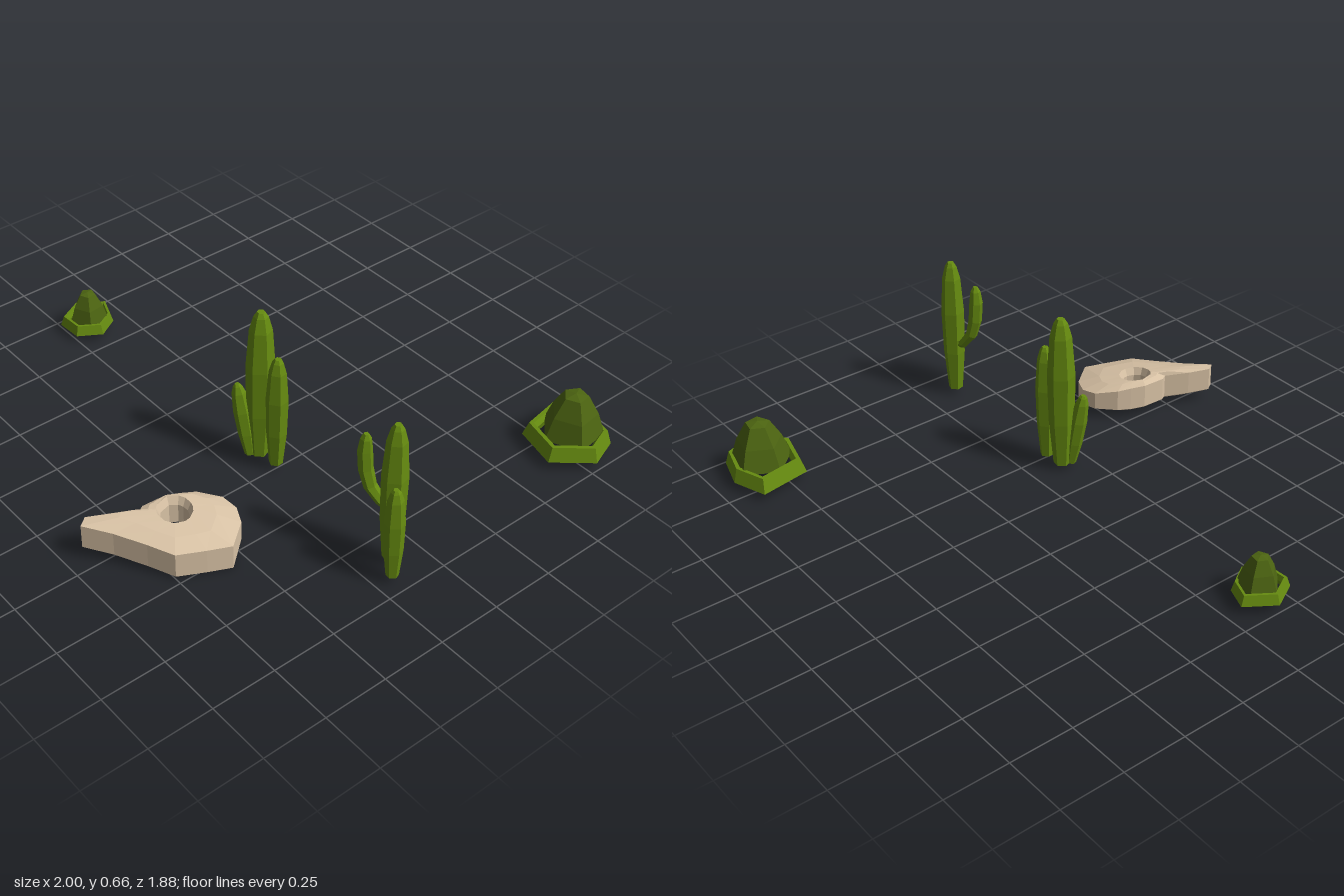
import * as THREE from 'three';

const mat = (name, color) => {
  const m = new THREE.MeshStandardMaterial({ color, flatShading: true, side: THREE.DoubleSide });
  m.name = name;
  return m;
};

// Skins a stack of equal-length rings of points into a faceted surface
function skin(rings) {
  const pos = [];
  const tri = (...pts) => {
    const area = pts[1].clone().sub(pts[0]).cross(pts[2].clone().sub(pts[0])).length();
    if (area > 1e-9) pts.forEach(p => pos.push(p.x, p.y, p.z));
  };
  for (let k = 0; k < rings.length - 1; k++) {
    const lo = rings[k], hi = rings[k + 1], n = lo.length;
    for (let i = 0; i < n; i++) {
      const j = (i + 1) % n;
      tri(lo[i], hi[i], lo[j]);
      tri(hi[i], hi[j], lo[j]);
    }
  }
  const g = new THREE.BufferGeometry();
  g.setAttribute('position', new THREE.Float32BufferAttribute(pos, 3));
  g.computeVertexNormals();
  return g;
}

function part(name, geometry, material) {
  const m = new THREE.Mesh(geometry, material);
  m.name = name;
  return m;
}

// Six-sided stem following a path, one radius per path point, closed at both ends
function stem(name, path, radii, material, turn = 0) {
  const pts = path.map(p => new THREE.Vector3(...p));
  const up = new THREE.Vector3(0, 1, 0);
  const last = pts.length - 1;
  const ring = (i, r) => {
    const dir = pts[Math.min(i + 1, last)].clone().sub(pts[Math.max(i - 1, 0)]).normalize();
    const q = new THREE.Quaternion().setFromUnitVectors(up, dir);
    return Array.from({ length: 6 }, (_, s) => {
      const a = turn + s * Math.PI / 3;
      return new THREE.Vector3(r * Math.cos(a), 0, r * Math.sin(a)).applyQuaternion(q).add(pts[i]);
    });
  };
  const rings = pts.map((_, i) => ring(i, radii[i]));
  return part(name, skin([ring(0, 0), ...rings, ring(last, 0)]), material);
}

// Upright stem, slim at the foot, widest halfway and blunt at the top
function column(name, foot, top, r, material, turn) {
  const at = t => foot.map((v, i) => v + (top[i] - v) * t);
  return stem(name, [0, 0.3, 0.62, 0.88, 0.97, 1].map(at),
    [0.62, 0.92, 1, 0.78, 0.5, 0.28].map(f => f * r), material, turn);
}

// Low shrub: a thick hexagonal collar around a faceted hollow mound
function shrub(name, outline, height, rim, collarMat, moundMat) {
  const g = new THREE.Group();
  g.name = name;
  const n = outline.length;
  const cx = outline.reduce((s, p) => s + p[0], 0) / n;
  const cz = outline.reduce((s, p) => s + p[1], 0) / n;
  const size = outline.reduce((s, p) => s + Math.hypot(p[0] - cx, p[1] - cz), 0) / n;
  const loop = (f, y) => outline.map(p =>
    new THREE.Vector3(cx + (p[0] - cx) * f, y, cz + (p[1] - cz) * f));
  const base = 0.04;
  g.add(part('collar', skin([loop(0.76, base), loop(1, base), loop(0.88, rim),
    loop(0.78, rim), loop(0.7, rim - 0.02), loop(0.76, base)]), collarMat));
  const round = (f, y) => Array.from({ length: 5 }, (_, s) => {
    const a = 0.5 + s * Math.PI * 0.4;
    return new THREE.Vector3(cx + size * f * Math.cos(a), y, cz + size * f * Math.sin(a));
  });
  const h = height - rim;
  g.add(part('mound', skin([round(0.74, rim - 0.02), round(0.55, rim + h * 0.45),
    round(0.29, rim + h * 0.94), round(0, height)]), moundMat));
  return g;
}

// Beaked skull lying flat, with an eye hole right through it
function skull(material) {
  const outline = [[.555, .565], [.52, .65], [.475, .75], [.385, .8], [.28, .865], [.19, .935],
    [.165, .9], [.2, .82], [.25, .735], [.235, .71], [.24, .62], [.262, .565], [.285, .515],
    [.35, .45], [.415, .44], [.48, .47]];
  const cx = 0.325, cz = 0.638;
  const top = (x, z) => 0.178 - 0.125 * x - Math.max(0, 0.54 - z) * 0.12;
  const bottom = (x, z) => 0.08 - 0.137 * x + Math.max(0, 0.56 - z) * 0.15;
  // t runs from the outer edge (0) to the rim of the eye hole (1)
  const loop = (t, r, yAt, lift) => outline.map(([x, z]) => {
    const a = Math.atan2(z - cz, x - cx);
    const px = x + (cx + r * Math.cos(a) - x) * t;
    const pz = z + (cz + r * Math.sin(a) - z) * t;
    return new THREE.Vector3(px, yAt(px, pz) + lift, pz);
  });
  const holeLow = loop(1, 0.05, bottom, 0.012);
  return part('skull', skin([holeLow, loop(0.12, 0.05, bottom, 0), loop(0, 0.05, bottom, 0.004),
    loop(0, 0.05, top, 0), loop(0.5, 0.06, top, 0.016), loop(1, 0.064, top, 0.02),
    loop(1, 0.05, top, -0.01), holeLow]), material);
}

export function createModel() {
  const model = new THREE.Group();
  model.name = 'desertProps';
  const green = mat('cactusGreen', 0x668b10);
  const olive = mat('darkOlive', 0x4c6411);
  const bone = mat('bone', 0xd8c2a5);

  // Cluster of three columns
  const trio = new THREE.Group();
  trio.name = 'tripleCactus';
  trio.add(
    column('mainStem', [.16, .03, .13], [.163, .665, .125], .054, green, .2),
    column('secondStem', [.242, .03, .12], [.25, .508, .12], .042, green, .4),
    column('smallStem', [.142, .03, .16], [.1, .34, .185], .033, green, .1));
  model.add(trio);

  // Cactus with a bent arm and a short neighbour
  const armed = new THREE.Group();
  armed.name = 'armedCactus';
  armed.add(
    column('mainStem', [.867, .033, .13], [.863, .612, .125], .047, green, .3),
    column('shortStem', [.938, .033, .185], [.932, .412, .185], .037, green, .15),
    stem('arm', [[.855, .245, .13], [.815, .26, .14], [.78, .31, .157], [.763, .38, .165],
      [.758, .46, .168], [.76, .51, .168], [.761, .53, .168]],
    [.018, .02, .024, .027, .027, .02, .009], green));
  model.add(armed);

  model.add(
    shrub('smallShrub', [[-.785, .17], [-.84, .26], [-.945, .265], [-1, .16], [-.925, .05],
      [-.835, .085]], .188, .08, green, olive),
    shrub('largeShrub', [[.995, -.775], [.88, -.64], [.705, -.685], [.67, -.89], [.81, -.94],
      [.95, -.9]], .252, .096, green, olive),
    skull(bone));
  return model;
}
